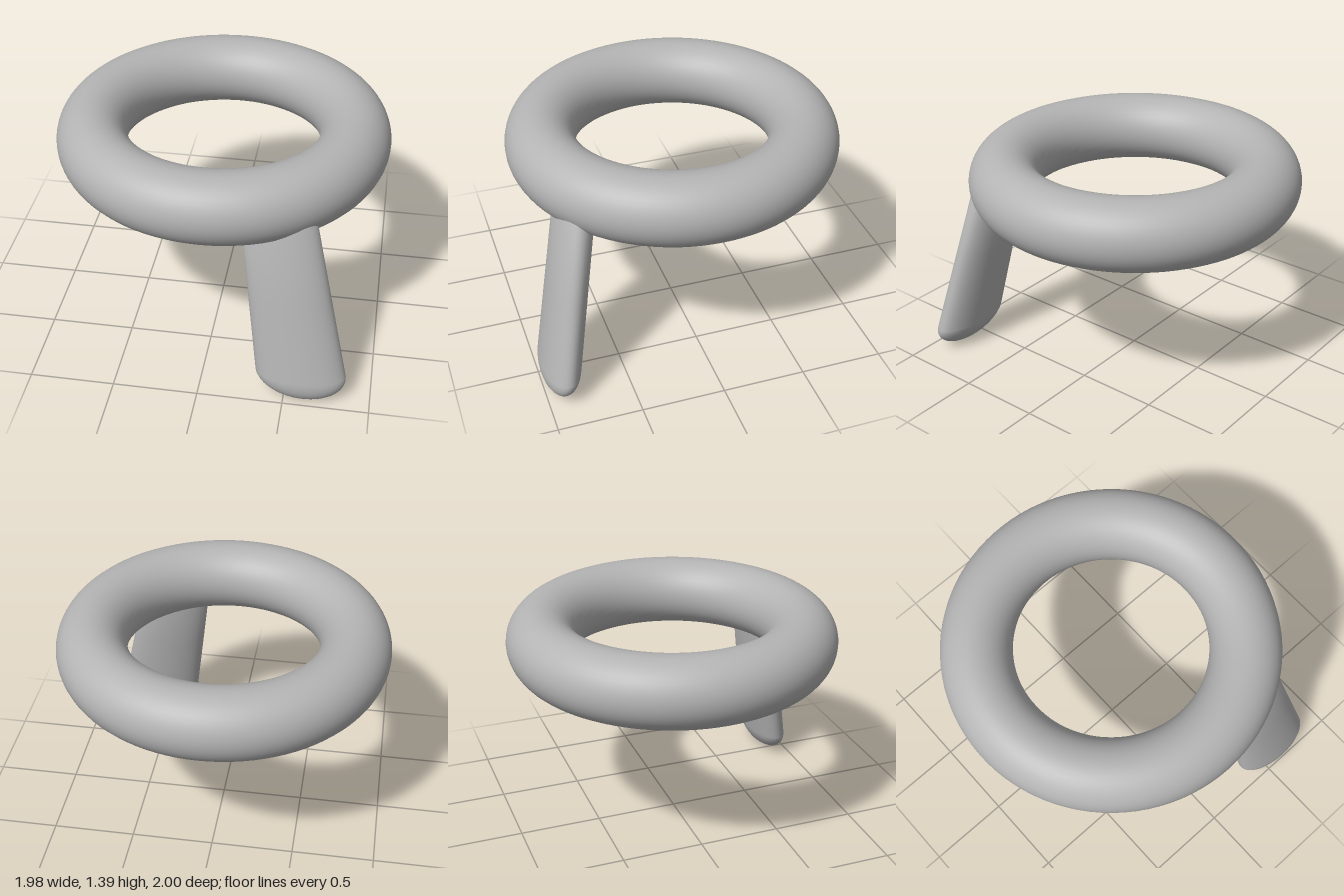
import * as THREE from 'three';
import { mergeVertices } from 'three/addons/utils/BufferGeometryUtils.js';

// Flattened round-ended leg: a lathed unit capsule, tapered and leaned by a rule
function legGeometry() {
  const cap = 0.155, top = 1.18, profile = [];
  for (let i = 0; i <= 10; i++) {
    const a = (i / 10) * Math.PI / 2;
    profile.push(new THREE.Vector2(Math.sin(a), cap * (1 - Math.cos(a))));
  }
  profile.push(new THREE.Vector2(1, 0.65), new THREE.Vector2(1, top), new THREE.Vector2(0, top));

  let geo = new THREE.LatheGeometry(profile, 40);
  const p = geo.attributes.position;
  for (let i = 0; i < p.count; i++) {
    const y = p.getY(i), k = y - cap;
    const halfWidth = 0.262 - 0.052 * Math.max(k, 0);
    const halfDepth = 0.115 - 0.005 * Math.max(k, 0);
    p.setXYZ(i,
      0.59 - 0.183 * k + p.getX(i) * halfWidth,
      y,
      0.885 - 0.188 * k + p.getZ(i) * halfDepth);
  }
  // weld the seam so the sides shade smoothly
  geo.deleteAttribute('uv');
  geo.deleteAttribute('normal');
  geo = mergeVertices(geo, 1e-5);
  geo.computeVertexNormals();
  return geo;
}

export function createModel() {
  const group = new THREE.Group();
  group.name = 'ringWithLeg';
  const grey = new THREE.MeshStandardMaterial({ color: 0xb4b4b4 });
  grey.name = 'grey';

  // Horizontal ring
  const ring = new THREE.Mesh(new THREE.TorusGeometry(0.78, 0.21, 40, 96), grey);
  ring.name = 'ring';
  ring.rotation.x = -Math.PI / 2;
  ring.position.set(0, 1.185, -0.008);
  group.add(ring);

  // Single splayed leg, sunk into the ring
  const leg = new THREE.Mesh(legGeometry(), grey);
  leg.name = 'leg';
  group.add(leg);

  return group;
}
